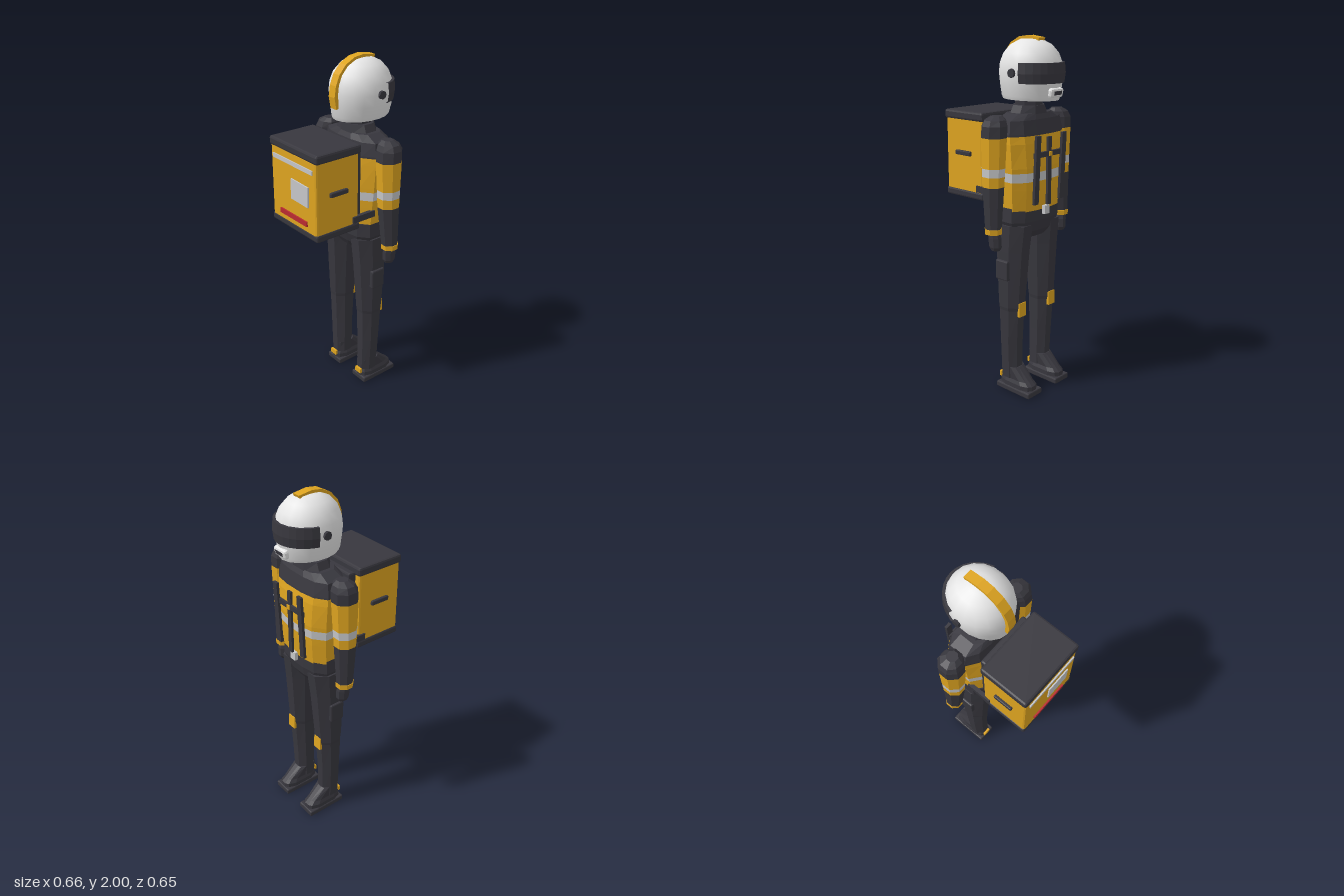
import * as THREE from 'three';
import { RoundedBoxGeometry } from 'three/addons/geometries/RoundedBoxGeometry.js';

const material = (name, color, side = THREE.FrontSide) => {
  const m = new THREE.MeshStandardMaterial({ color, side });
  m.name = name;
  return m;
};

// Faceted normals
const flat = (geo) => {
  const g = geo.index ? geo.toNonIndexed() : geo;
  g.computeVertexNormals();
  return g;
};

// Cross-section outlines, unit size, running from +x towards +z
const octagon = Array.from({ length: 8 }, (_, i) => {
  const a = ((i + 0.5) * Math.PI) / 4;
  return [Math.cos(a) * 1.06, Math.sin(a) * 1.06];
});
const quarter = [[1, 0.5], [0.7, 0.88], [0.28, 1]];
const trunk = [
  ...quarter,
  ...quarter.map(([x, z]) => [-x, z]).reverse(),
  ...quarter.map(([x, z]) => [-x, -z]),
  ...quarter.map(([x, z]) => [x, -z]).reverse(),
];

// Closed loft through rows of [y, centreX, centreZ, radiusX, radiusZ]
function loft(rows, outline) {
  const n = outline.length, pos = [], idx = [];
  for (const [y, cx, cz, rx, rz] of rows)
    for (const [x, z] of outline) pos.push(cx + x * rx, y, cz + z * rz);
  for (let i = 0; i < rows.length - 1; i++)
    for (let j = 0; j < n; j++) {
      const a = i * n + j, b = i * n + ((j + 1) % n);
      idx.push(a, a + n, b, b, a + n, b + n);
    }
  const top = (rows.length - 1) * n;
  for (let j = 1; j < n - 1; j++) idx.push(0, j, j + 1, top, top + j + 1, top + j);
  const g = new THREE.BufferGeometry();
  g.setAttribute('position', new THREE.Float32BufferAttribute(pos, 3));
  g.setIndex(idx);
  return flat(g);
}

// Rows of a profile between two heights, interpolated at the ends
function slice(rows, y0, y1) {
  const at = (y) => {
    let i = 0;
    while (i < rows.length - 2 && rows[i + 1][0] < y) i++;
    const t = (y - rows[i][0]) / (rows[i + 1][0] - rows[i][0]);
    return rows[i].map((v, k) => v + (rows[i + 1][k] - v) * t);
  };
  return [at(y0), ...rows.filter((r) => r[0] > y0 + 1e-4 && r[0] < y1 - 1e-4), at(y1)];
}

export function createModel() {
  const model = new THREE.Group();
  model.name = 'courier';
  const dark = material('charcoal', 0x38373e, THREE.DoubleSide);
  const yellow = material('amber', 0xdea420);
  const white = material('helmet white', 0xe6e6e6);
  const grey = material('reflective grey', 0xc6c7c9);
  const red = material('red', 0xb92a30);

  const add = (name, geo, mat, x = 0, y = 0, z = 0) => {
    const m = new THREE.Mesh(geo, mat);
    m.name = name;
    m.position.set(x, y, z);
    model.add(m);
    return m;
  };
  const box = (name, mat, [w, h, d], [x, y, z], r = 0) =>
    add(name, r ? flat(new RoundedBoxGeometry(w, h, d, 1, r)) : new THREE.BoxGeometry(w, h, d), mat, x, y, z);
  const bands = (name, rows, outline, cuts) => {
    for (let i = 0; i < cuts.length; i++) {
      const [y0, mat] = cuts[i];
      const y1 = cuts[i + 1] ? cuts[i + 1][0] : rows[rows.length - 1][0];
      add(name, loft(slice(rows, y0, y1), outline), mat);
    }
  };

  // Jacket, pelvis, collar and neck
  bands('jacket', [
    [1.08, 0, -0.115, 0.19, 0.12], [1.2, 0, -0.12, 0.2, 0.127], [1.32, 0, -0.125, 0.21, 0.13],
    [1.45, 0, -0.125, 0.217, 0.122], [1.5, 0, -0.122, 0.215, 0.115],
    [1.57, 0, -0.12, 0.2, 0.1], [1.6, 0, -0.12, 0.13, 0.085],
  ], trunk, [[1.08, yellow], [1.245, grey], [1.295, yellow], [1.49, dark]]);
  add('pelvis', loft([
    [0.92, 0, -0.115, 0.1, 0.08], [0.96, 0, -0.115, 0.165, 0.105],
    [1.02, 0, -0.112, 0.195, 0.122], [1.1, 0, -0.112, 0.192, 0.123],
  ], trunk), dark);
  add('collar', loft([[1.59, 0, -0.12, 0.115, 0.09], [1.64, 0, -0.12, 0.09, 0.08]], octagon), dark);
  add('neck', loft([[1.62, 0, -0.12, 0.07, 0.075], [1.69, 0, -0.12, 0.07, 0.075]], octagon), dark);

  for (const s of [-1, 1]) {
    // Arms
    bands('arm', [
      [1.0, s * 0.28, -0.12, 0.042, 0.046], [1.23, s * 0.27, -0.112, 0.056, 0.06],
      [1.49, s * 0.263, -0.112, 0.066, 0.07], [1.55, s * 0.26, -0.115, 0.067, 0.068],
      [1.58, s * 0.255, -0.115, 0.058, 0.055], [1.6, s * 0.245, -0.115, 0.03, 0.03],
    ], octagon, [[1.0, dark], [1.23, yellow], [1.285, grey], [1.33, yellow], [1.49, dark]]);
    add('cuff', loft([[0.975, s * 0.28, -0.121, 0.045, 0.047], [1.003, s * 0.28, -0.121, 0.046, 0.048]], octagon), yellow);
    add('glove', loft([
      [0.88, s * 0.272, -0.127, 0.02, 0.026], [0.9, s * 0.272, -0.127, 0.029, 0.037],
      [0.95, s * 0.274, -0.126, 0.031, 0.038], [0.98, s * 0.277, -0.123, 0.028, 0.033],
    ], octagon), dark);

    // Legs
    add('leg', loft([
      [0.08, s * 0.12, -0.11, 0.053, 0.06], [0.3, s * 0.125, -0.111, 0.059, 0.064],
      [0.5, s * 0.126, -0.113, 0.063, 0.073], [0.52, s * 0.126, -0.113, 0.067, 0.076],
      [0.85, s * 0.118, -0.114, 0.08, 0.096], [1.0, s * 0.112, -0.115, 0.085, 0.11],
    ], octagon), dark);
    box('cargoPocket', dark, [0.03, 0.115, 0.09], [s * 0.194, 0.743, -0.11], 0.008);
    box('kneePatch', yellow, [0.055, 0.08, 0.02], [s * 0.126, 0.508, -0.186]).rotation.x = 0.04;

    // Boots
    box('sole', dark, [0.118, 0.034, 0.248], [s * 0.121, 0.018, -0.165], 0.007);
    add('bootUpper', loft([
      [0.03, s * 0.121, -0.162, 0.054, 0.118], [0.06, s * 0.121, -0.162, 0.054, 0.116],
      [0.08, s * 0.121, -0.155, 0.046, 0.1], [0.15, s * 0.12, -0.115, 0.052, 0.06],
    ], trunk), dark);
    box('heelTag', yellow, [0.048, 0.03, 0.014], [s * 0.122, 0.07, -0.043]);

    // Harness
    box('chestStrap', dark, [0.034, 0.37, 0.016], [s * 0.105, 1.31, -0.272]).rotation.x = -0.04;
    box('hipStrap', dark, [0.022, 0.036, 0.15], [s * 0.198, 1.173, 0.005]);

    // Helmet hinge
    const hinge = flat(new THREE.CylinderGeometry(0.023, 0.023, 0.03, 8));
    add('visorHinge', hinge, dark, s * 0.155, 1.812, -0.143).rotation.z = Math.PI / 2;
    box('boxHandle', dark, [0.02, 0.026, 0.115], [s * 0.205, 1.363, 0.178], 0.005);
  }
  box('crossStrap', dark, [0.24, 0.028, 0.014], [0, 1.39, -0.268]);
  box('centreStrap', dark, [0.028, 0.37, 0.014], [0, 1.295, -0.266]);
  box('strapBadge', yellow, [0.024, 0.024, 0.008], [0, 1.39, -0.277]);
  box('buckle', grey, [0.04, 0.048, 0.02], [0, 1.078, -0.25]);

  // Helmet shell, stretched front to back and more so towards the rim
  const helmetZ = -0.135;
  const stretch = (geo) => {
    const p = geo.attributes.position;
    for (let i = 0; i < p.count; i++) {
      const t = Math.max(0, (1.8 - p.getY(i)) / 0.13);
      p.setZ(i, p.getZ(i) * (1.12 + 0.23 * t * t));
    }
    return geo;
  };
  const points = (list) => list.map(([r, y]) => new THREE.Vector2(r, y));
  const shell = stretch(new THREE.LatheGeometry(points([
    [0.125, 1.67], [0.135, 1.69], [0.152, 1.75], [0.16, 1.81], [0.155, 1.86],
    [0.137, 1.91], [0.102, 1.953], [0.053, 1.98], [0, 1.986],
  ]), 18));
  add('helmet', shell, white, 0, 0, helmetZ);
  add('helmetBase', flat(stretch(new THREE.LatheGeometry(points([[0, 1.672], [0.125, 1.67]]), 18))), white, 0, 0, helmetZ);
  add('visor', flat(stretch(new THREE.LatheGeometry(points([
    [0.14, 1.76], [0.163, 1.76], [0.171, 1.81], [0.166, 1.865], [0.14, 1.865],
  ]), 12, Math.PI - 1.29, 2.58))), dark, 0, 0, helmetZ);
  box('chinVent', white, [0.1, 0.05, 0.04], [0, 1.713, -0.3], 0.012).rotation.x = -0.2;
  box('ventSlot', dark, [0.056, 0.02, 0.008], [0, 1.712, -0.32]).rotation.x = -0.2;

  // Helmet stripe, running from the crown down the back
  const outer = [[0.05, 1.735], [0.062, 1.8], [0.053, 1.86], [0.03, 1.915],
    [-0.012, 1.962], [-0.07, 1.992], [-0.13, 2.0], [-0.21, 1.989]];
  const inner = outer.map(([z, y]) => [helmetZ + (z - helmetZ) * 0.88, 1.8 + (y - 1.8) * 0.88]).reverse();
  const stripe = new THREE.ExtrudeGeometry(new THREE.Shape(points([...outer, ...inner])), { depth: 0.05, bevelEnabled: false });
  stripe.rotateY(-Math.PI / 2);
  add('helmetStripe', stripe, yellow, 0.025);

  // Delivery box and its carrying frame
  box('boxBody', yellow, [0.398, 0.43, 0.28], [0, 1.345, 0.179], 0.012);
  box('boxLid', dark, [0.418, 0.05, 0.294], [0, 1.571, 0.176], 0.012);
  box('boxBase', dark, [0.41, 0.042, 0.288], [0, 1.131, 0.177], 0.01);
  box('backFrame', dark, [0.33, 0.4, 0.05], [0, 1.36, 0.02], 0.01);
  box('boxStripe', grey, [0.345, 0.024, 0.009], [0, 1.498, 0.322]);
  box('boxLabel', grey, [0.15, 0.115, 0.009], [0.06, 1.352, 0.322]).rotation.z = -0.03;
  box('boxReflector', red, [0.24, 0.028, 0.009], [0, 1.193, 0.323]);

  return model;
}
